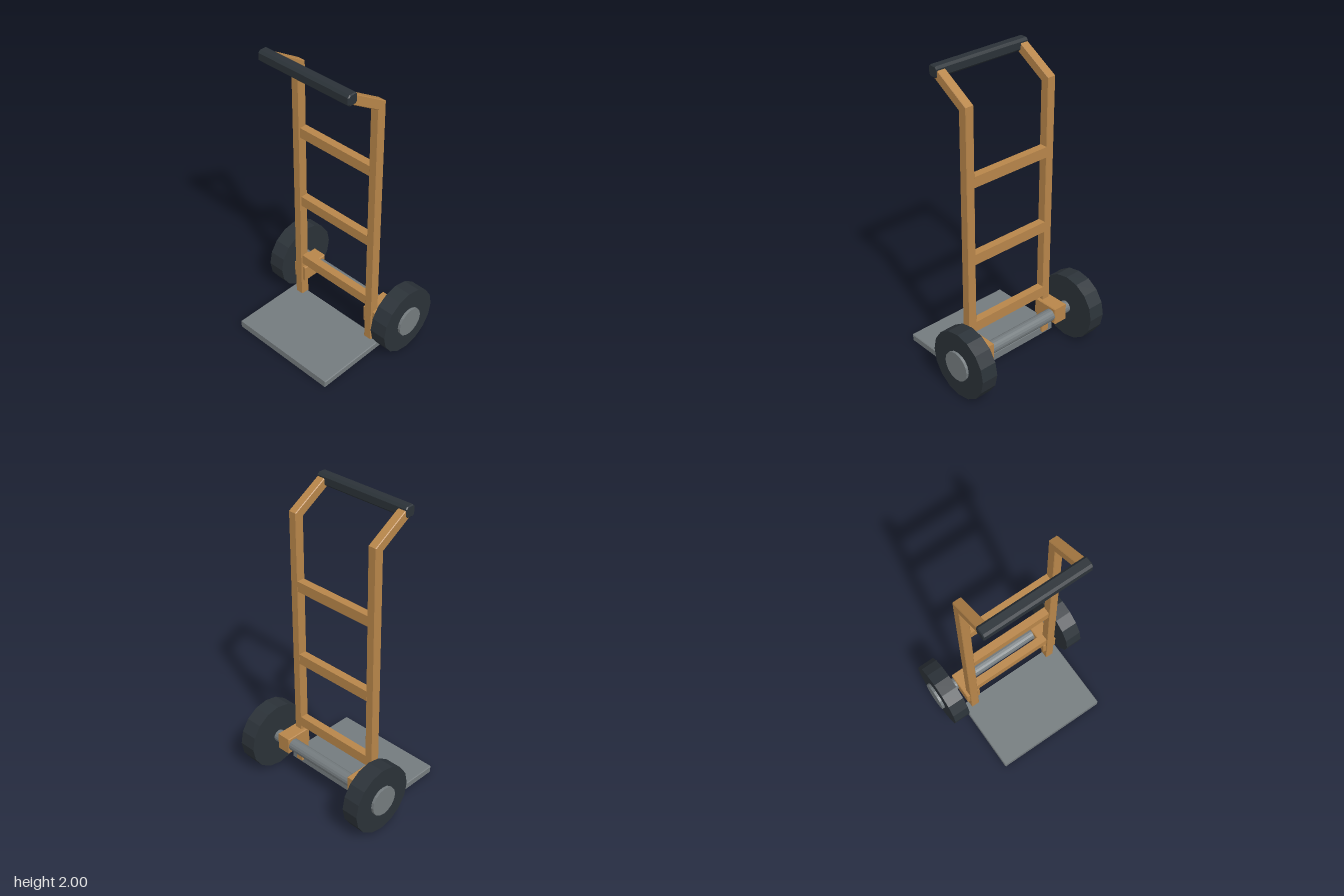
import * as THREE from 'three';

const material = (color) => new THREE.MeshStandardMaterial({ color, flatShading: true });

export function createModel() {
  const model = new THREE.Group();
  const wood = material(0xb8864a);
  const steel = material(0x747b7e);
  const rubber = material(0x2b3238);

  function add(name, geometry, mat, x = 0, y = 0, z = 0) {
    const mesh = new THREE.Mesh(geometry, mat);
    mesh.name = name;
    mesh.position.set(x, y, z);
    model.add(mesh);
    return mesh;
  }

  // Side outline of [z, y] points, widened along x to the full width with chamfered edges
  function sideExtrude(points, width, chamfer) {
    const shape = new THREE.Shape(points.map(([z, y]) => new THREE.Vector2(z, y)));
    const geometry = new THREE.ExtrudeGeometry(shape, {
      depth: width - 2 * chamfer, bevelThickness: chamfer, bevelSize: chamfer,
      bevelOffset: -chamfer, bevelSegments: 1, steps: 1,
    });
    geometry.translate(0, 0, chamfer - width / 2);
    return geometry.rotateY(-Math.PI / 2);
  }

  // Chamfered box given by its full size
  function block(w, h, d, chamfer) {
    const y = h / 2, z = d / 2;
    return sideExtrude([[-z, -y], [z, -y], [z, y], [-z, y]], w, chamfer);
  }

  // Cylinder lying along x
  const rod = (radius, length, sides) =>
    new THREE.CylinderGeometry(radius, radius, length, sides).rotateZ(Math.PI / 2);

  // Toe plate
  add('toePlate', block(0.776, 0.048, 0.516, 0.005), steel, 0, 0.024, 0.163);

  // Upright rails that bend forward to the handle
  const railOutline = [
    [-0.107, 0.02], [-0.046, 0.02], [-0.046, 1.8], [0.165, 1.93],
    [0.135, 1.982], [-0.107, 1.835],
  ];
  for (const side of [-1, 1]) {
    add(side > 0 ? 'leftRail' : 'rightRail', sideExtrude(railOutline, 0.058, 0.004), wood, side * 0.312);
  }

  // Cross rungs
  [0.35, 0.837, 1.357].forEach((y, i) => {
    add('rung' + (i + 1), block(0.58, 0.07, 0.052, 0.004), wood, 0, y, -0.081);
  });

  // Handle grip with chamfered section
  const h = 0.036, c = 0.022;
  const gripOutline = [
    [-c, -h], [c, -h], [h, -c], [h, c], [c, h], [-c, h], [-h, c], [-h, -c],
  ];
  add('handleGrip', sideExtrude(gripOutline, 0.69, 0.006), rubber, 0, 1.964, 0.164);

  // Axle, its brackets, wheels and hubs
  const axleY = 0.227, axleZ = -0.201;
  add('axle', rod(0.041, 0.9, 16), steel, 0, axleY, axleZ);
  for (const side of [-1, 1]) {
    const label = side > 0 ? 'left' : 'right';
    add(label + 'AxleBracket', block(0.102, 0.114, 0.188, 0.005), wood, side * 0.312, axleY + 0.001, -0.15);
    add(label + 'Wheel', rod(0.226, 0.114, 16), rubber, side * 0.458, axleY, axleZ);
    add(label + 'Hub', rod(0.098, 0.13, 16), steel, side * 0.468, axleY, axleZ);
  }
  return model;
}
